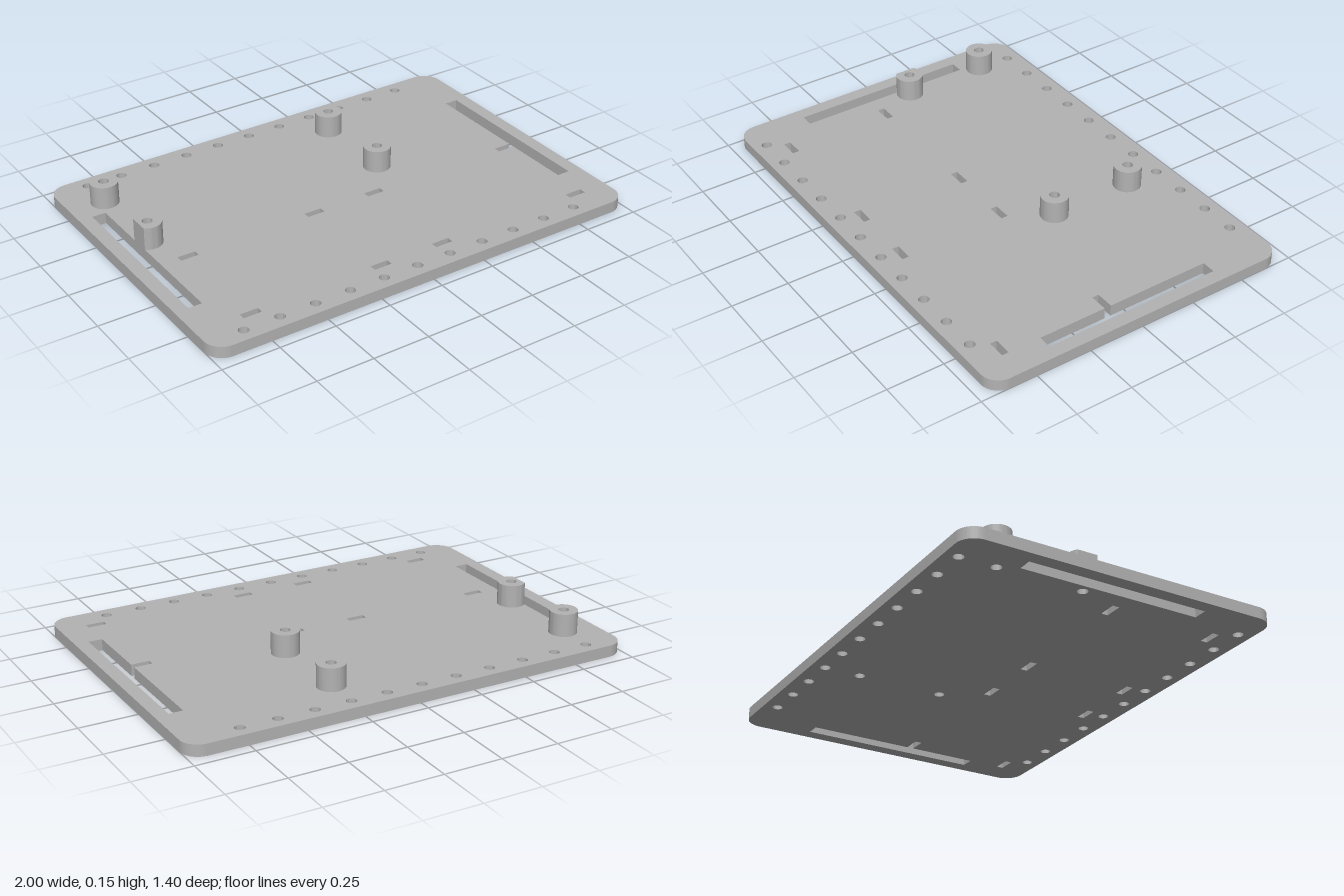
import * as THREE from 'three';
import { toCreasedNormals } from 'three/addons/utils/BufferGeometryUtils.js';

const PLATE_HEIGHT = 0.05;
const POST_HEIGHT = 0.1;
const POST_RADIUS = 0.06;
const HOLE_RADIUS = 0.022;
const SLOT_EDGE = 0.88; // inner edge of the long side slots

// Shapes are drawn in plan, with shape y = -z
const circleHole = (x, z) => new THREE.Path().absarc(x, -z, HOLE_RADIUS, 0, Math.PI * 2, true);

const polygonHole = (points) => new THREE.Path(points.map(([x, z]) => new THREE.Vector2(x, -z)));

const rectHole = (x0, x1, z0, z1) => polygonHole([[x0, z0], [x1, z0], [x1, z1], [x0, z1]]);

function extrudeUp(shape, depth) {
  const geometry = new THREE.ExtrudeGeometry(shape, { depth, bevelEnabled: false, curveSegments: 32 });
  geometry.rotateX(-Math.PI / 2);
  return toCreasedNormals(geometry, 0.5);
}

function roundedRect(w, d, r) {
  const s = new THREE.Shape();
  s.absarc(w - r, d - r, r, 0, Math.PI / 2, false);
  s.absarc(-w + r, d - r, r, Math.PI / 2, Math.PI, false);
  s.absarc(-w + r, -d + r, r, Math.PI, Math.PI * 1.5, false);
  s.absarc(w - r, -d + r, r, Math.PI * 1.5, Math.PI * 2, false);
  s.closePath();
  return s;
}

export function createModel() {
  const model = new THREE.Group();
  model.name = 'mountingPlate';
  const grey = new THREE.MeshStandardMaterial({ color: 0xb3b3b3 });
  grey.name = 'grey';

  const posts = [];
  for (const x of [-0.84, 0.28]) for (const z of [-0.48, -0.1]) posts.push([x, z]);

  // Base plate with rounded corners
  const plate = roundedRect(1, 0.7, 0.08);

  // Rows of screw holes along the front and back edges
  for (const z of [-0.64, 0.64]) {
    for (let i = 0; i < 11; i++) plate.holes.push(circleHole(-0.84 + i * 0.16, z));
  }

  // Small rectangular tab slots
  for (const z of [0.08, 0.56]) {
    for (const x of [-0.8, -0.2, 0.1, 0.8]) {
      if (x === 0.8 && z === 0.08) continue; // merged with the side slot below
      plate.holes.push(rectHole(x, x + 0.08, z - 0.015, z + 0.015));
    }
  }

  // Long side slots; the one on the left side joins a tab slot
  plate.holes.push(rectHole(-0.94, -SLOT_EDGE, -0.4, 0.4));
  plate.holes.push(polygonHole([
    [SLOT_EDGE, -0.4], [0.94, -0.4], [0.94, 0.4], [SLOT_EDGE, 0.4],
    [SLOT_EDGE, 0.095], [0.8, 0.095], [0.8, 0.065], [SLOT_EDGE, 0.065],
  ]));

  // Post bores run through the plate
  for (const [x, z] of posts) plate.holes.push(circleHole(x, z));

  const base = new THREE.Mesh(extrudeUp(plate, PLATE_HEIGHT), grey);
  base.name = 'basePlate';
  model.add(base);

  // Hollow standoff posts; the one beside the slot is cut flat at its edge
  for (const [x, z] of posts) {
    const shape = new THREE.Shape();
    const isCut = x < 0 && z > -0.4;
    const end = isCut ? Math.PI - Math.acos((SLOT_EDGE + x) / POST_RADIUS) : Math.PI;
    shape.absarc(0, 0, POST_RADIUS, -end, end, false);
    shape.closePath();
    shape.holes.push(circleHole(0, 0));
    const post = new THREE.Mesh(extrudeUp(shape, POST_HEIGHT), grey);
    post.name = 'standoffPost';
    post.position.set(x, PLATE_HEIGHT, z);
    model.add(post);
  }

  return model;
}
